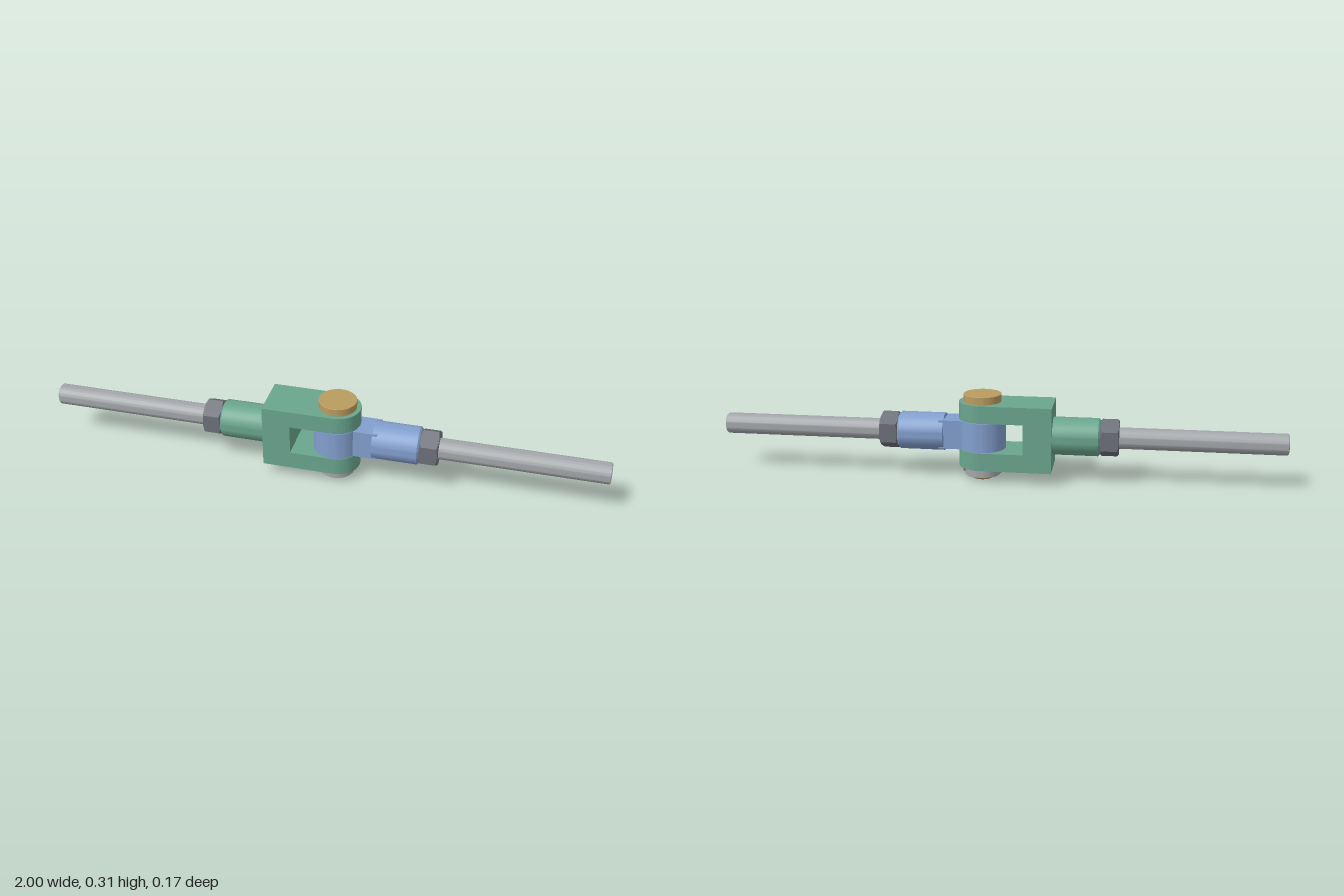
import * as THREE from 'three';
import { toCreasedNormals } from 'three/addons/utils/BufferGeometryUtils.js';

const AXIS_Y = 0.163; // height of the rod axis
const PIN_X = 0.057; // position of the hinge pin
const EYE_R = 0.083; // rounded end of fork and eye

const material = (name, color) => {
  const m = new THREE.MeshStandardMaterial({ color });
  m.name = name;
  return m;
};

// Turned solid from [radius, height] pairs, listed bottom to top
function turned(profile, segments = 48) {
  const points = profile.map(([r, y]) => new THREE.Vector2(r, y));
  return toCreasedNormals(new THREE.LatheGeometry(points, segments), 0.4);
}

// Cylinder with both rims chamfered
function chamfered(radius, y0, y1, c0, c1 = c0) {
  return turned([[0, y0], [radius - c0, y0], [radius, y0 + c0], [radius, y1 - c1], [radius - c1, y1], [0, y1]]);
}

// Hex nut: a lathe whose outer rings are pushed onto a hexagon and chamfered by a cone
function hexNut(apothem, width) {
  const h = width / 2, flat = apothem * 0.97, third = Math.PI / 3;
  const geo = new THREE.LatheGeometry([
    [0.036, -h + 0.008], [0.044, -h], [flat, -h], [apothem, -h + 0.002],
    [apothem, h - 0.002], [flat, h], [0.044, h], [0.036, h - 0.008],
  ].map(([r, y]) => new THREE.Vector2(r, y)), 48);
  const p = geo.attributes.position;
  for (let i = 0; i < p.count; i++) {
    const x = p.getX(i), z = p.getZ(i), r = Math.hypot(x, z);
    if (r < apothem - 0.0005) continue;
    const a = Math.atan2(x, z);
    const local = a - Math.round(a / third) * third;
    const hexR = apothem / Math.cos(local);
    p.setXYZ(i, (x / r) * hexR, Math.sign(p.getY(i)) * (h - (hexR - flat) * 0.577), (z / r) * hexR);
  }
  return toCreasedNormals(geo, 0.3);
}

// Plate seen from above, from x0 to a round end about the pin
function roundedPlate(x0, y0, y1) {
  const s = new THREE.Shape();
  s.moveTo(x0, -EYE_R);
  s.lineTo(PIN_X, -EYE_R);
  s.absarc(PIN_X, 0, EYE_R, -Math.PI / 2, Math.PI / 2, false);
  s.lineTo(x0, EYE_R);
  s.closePath();
  const geo = new THREE.ExtrudeGeometry(s, { depth: y1 - y0, bevelEnabled: false, curveSegments: 32 });
  return toCreasedNormals(geo.rotateX(-Math.PI / 2).translate(0, y0, 0), 0.4);
}

function box(x0, x1, y0, y1, halfZ) {
  return new THREE.BoxGeometry(x1 - x0, y1 - y0, halfZ * 2).translate((x0 + x1) / 2, (y0 + y1) / 2, 0);
}

export function createModel() {
  const model = new THREE.Group();
  model.name = 'forkJoint';

  const steel = material('steel', 0xa3a6aa);
  const darkSteel = material('darkSteel', 0x6c7078);
  const green = material('green', 0x6aa58e);
  const blue = material('blue', 0x829fce);
  const brass = material('brass', 0xb99c5f);

  const add = (name, geo, mat, parent = model) => {
    const mesh = new THREE.Mesh(geo, mat);
    mesh.name = name;
    parent.add(mesh);
    return mesh;
  };
  // Lays a turned part along the rod axis; local up becomes outward on that side
  const alongRod = (geo, side) => geo.rotateZ(-side * Math.PI / 2).translate(0, AXIS_Y, 0);

  // Rod, lock nut and socket on each side
  for (const [side, label, mat, inner] of [[-1, 'right', green, 0.19], [1, 'left', blue, 0.19]]) {
    add(label + 'Rod', alongRod(chamfered(0.0375, 0.3, 1, 0.003), side), steel);
    const nutMid = side < 0 ? 0.393 : 0.388;
    add(label + 'LockNut', alongRod(hexNut(0.0585, 0.066).translate(0, nutMid, 0), side), darkSteel);
    add(label + 'Socket', alongRod(chamfered(0.067, inner, nutMid - 0.033, 0.001, 0.006), side), mat);
  }

  // Fork: bridge block and two arms
  const fork = new THREE.Group();
  fork.name = 'fork';
  model.add(fork);
  add('forkBridge', box(-0.195, -0.095, 0.11, 0.218, EYE_R), green, fork);
  add('upperArm', roundedPlate(-0.195, 0.218, 0.28), green, fork);
  add('lowerArm', roundedPlate(-0.195, 0.046, 0.11), green, fork);

  // Eye between the arms, with its flat neck
  const eye = new THREE.Group();
  eye.name = 'eye';
  model.add(eye);
  add('eyeBarrel', turned([[0, 0.112], [EYE_R, 0.112], [EYE_R, 0.216], [0, 0.216]], 64).translate(PIN_X, 0, 0), blue, eye);
  add('eyeNeck', box(PIN_X, 0.208, 0.1125, 0.2155, 0.05), blue, eye);

  // Hinge pin with its head, retaining collar and cross pin
  const hinge = new THREE.Group();
  hinge.name = 'hinge';
  hinge.position.x = PIN_X;
  model.add(hinge);
  add('pinHead', chamfered(0.067, 0.279, 0.307, 0.001), brass, hinge);
  add('pinShank', chamfered(0.042, 0, 0.285, 0.006), brass, hinge);
  add('collar', chamfered(0.063, 0.013, 0.046, 0.001), steel, hinge);
  add('crossPin', chamfered(0.01, -0.07, 0.07, 0.002).rotateZ(Math.PI / 2).translate(0, 0.028, 0), darkSteel, hinge);

  return model;
}
